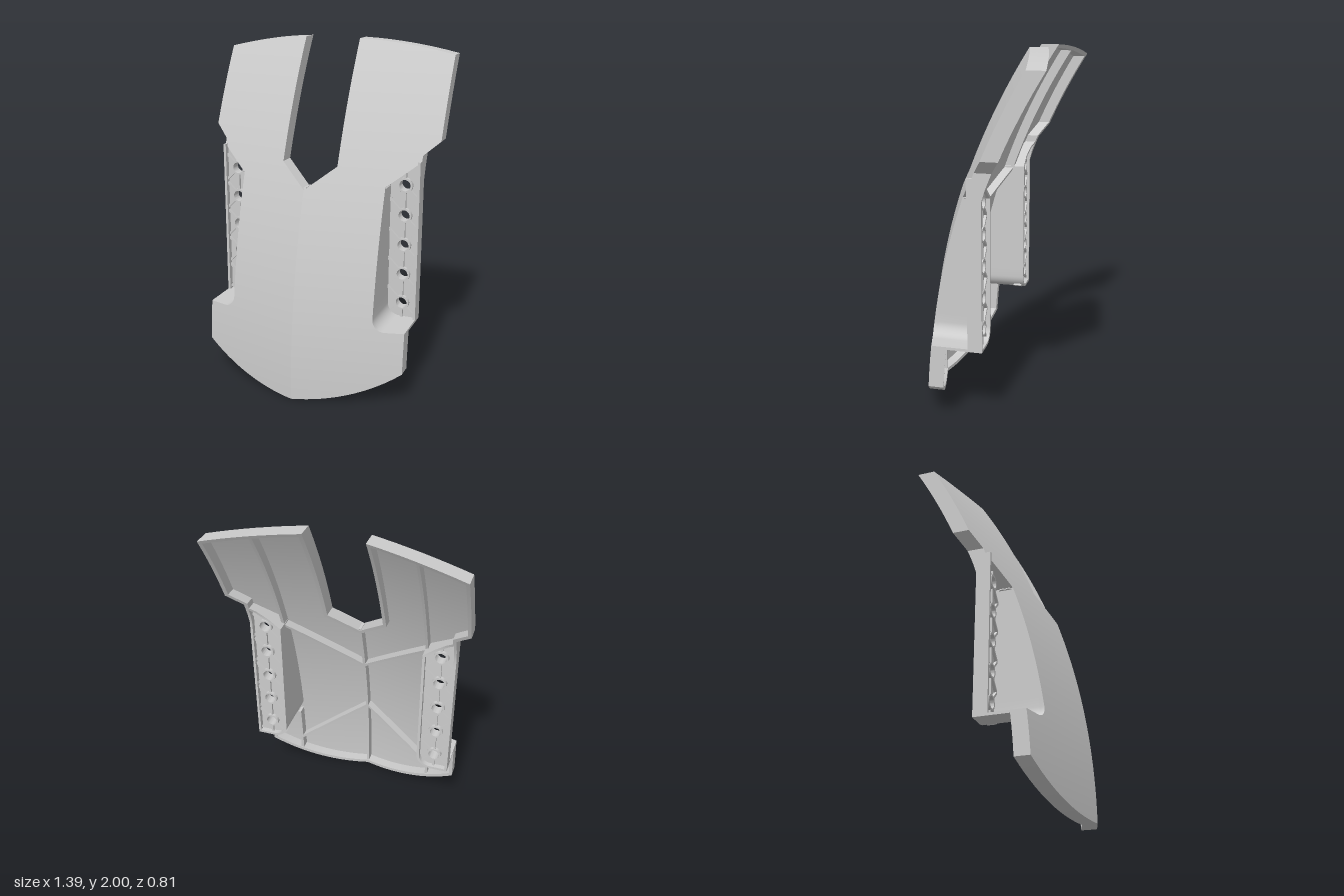
import * as THREE from 'three';
import { toCreasedNormals, mergeGeometries } from 'three/addons/utils/BufferGeometryUtils.js';

const R = 3.76;          // radius of the plate's vertical bend
const DEPTH = 0.085;     // rim depth
const SKIN = 0.025;      // skin thickness
const PANEL_BACK = -0.06;

// z of the V-folded, bent plate at (x, y), sunk by depth d
const plateZ = (x, y, d = 0) => {
  const c = Math.sqrt(R * R - y * y);
  return 0.41 - R + c - 0.265 * Math.abs(x) - d * R / c;
};
const at = d => (x, y) => plateZ(x, y, d);
const panelBack = (x, y) => Math.min(PANEL_BACK, plateZ(x, y, DEPTH));

// Joins rings of four corners into a closed solid
function loft(rings) {
  const pos = [];
  const quad = (a, b, c, d) => [a, b, c, a, c, d].forEach(p => pos.push(...p));
  for (let i = 0; i < rings.length - 1; i++) {
    const p = rings[i], q = rings[i + 1];
    for (let j = 0; j < 4; j++) quad(p[j], q[j], q[(j + 1) % 4], p[(j + 1) % 4]);
  }
  quad(...rings[0]);
  quad(...[...rings[rings.length - 1]].reverse());
  const g = new THREE.BufferGeometry();
  g.setAttribute('position', new THREE.Float32BufferAttribute(pos, 3));
  return toCreasedNormals(g, 0.45);
}

// Splits long runs so that they follow the bend
function subdivide(pts, step = 0.06) {
  const out = [pts[0]];
  for (let i = 1; i < pts.length; i++) {
    const [a, b] = [pts[i - 1], pts[i]];
    const n = Math.max(1, Math.ceil(Math.abs(b[1] - a[1]) / step));
    for (let k = 1; k <= n; k++) out.push([a[0] + (b[0] - a[0]) * k / n, a[1] + (b[1] - a[1]) * k / n]);
  }
  return out;
}

// Wall along an (x, y) path, between side offsets a and b (left of travel is positive)
function wall(path, a, b, front, back) {
  const pts = subdivide(path);
  const normal = (p, q) => {
    const l = Math.hypot(q[0] - p[0], q[1] - p[1]);
    return [(p[1] - q[1]) / l, (q[0] - p[0]) / l];
  };
  return loft(pts.map((p, i) => {
    const n1 = i ? normal(pts[i - 1], p) : normal(p, pts[1]);
    const n2 = i < pts.length - 1 ? normal(p, pts[i + 1]) : n1;
    const k = 1 + n1[0] * n2[0] + n1[1] * n2[1];
    let n = [(n1[0] + n2[0]) / k, (n1[1] + n2[1]) / k];
    if (Math.abs(p[0]) < 1e-6 && Math.abs(n[1]) > 0.1) n = [0, 1 / n[1]]; // meet the mirrored half
    const corner = (o, z) => {
      const x = p[0] + n[0] * o, y = p[1] + n[1] * o;
      return [x, y, z(x, y)];
    };
    return [corner(a, front), corner(b, front), corner(b, back), corner(a, back)];
  }));
}

function mirrored(geo) {
  const g = geo.index ? geo.toNonIndexed() : geo.clone();
  g.scale(-1, 1, 1);
  for (const name of ['position', 'normal']) {
    const arr = g.attributes[name].array;
    for (let i = 0; i < arr.length; i += 9)
      for (let k = 0; k < 3; k++) [arr[i + k], arr[i + 6 + k]] = [arr[i + 6 + k], arr[i + k]];
  }
  return g;
}

const range = (n, f) => Array.from({ length: n + 1 }, (_, i) => f(i / n));

export function createModel() {
  const model = new THREE.Group();
  model.name = 'ribbedShieldPlate';
  const material = new THREE.MeshStandardMaterial({ color: 0xcccccc });
  const addOne = (name, geo) => {
    const mesh = new THREE.Mesh(geo, material);
    mesh.name = name;
    model.add(mesh);
  };
  const addPair = (name, geo) => {
    addOne(name + 'Left', geo);
    addOne(name + 'Right', mirrored(geo));
  };

  // Outline of the left half, counterclockwise from the bottom point
  const topY = x => 2.0048 - 0.1755 * x * x;
  const lower = [...range(14, t => [0.61 * t, 1.03 - Math.sqrt(1.03 ** 2 - (0.61 * t) ** 2)]), [0.61, 0.44]];
  const pocket = [
    [0.61, 0.44],
    ...range(8, t => [0.505 - 0.07 * Math.sin(t * Math.PI / 2), 0.51 - 0.07 * Math.cos(t * Math.PI / 2)]),
    [0.435, 1.2], [0.435, 1.23], [0.564, 1.33], [0.61, 1.366],
  ];
  const upperOuter = [
    [0.61, 1.366], [0.61, 1.4], [0.695, 1.475],
    ...range(8, t => 0.695 - 0.53 * t).map(x => [x, topY(x)]),
  ];
  const upper = [...upperOuter, [0.165, 1.33], [0, 1.2]];

  // Curved skin, one row per height from the notch to the outer edge
  const innerX = y => THREE.MathUtils.clamp((y - 1.2) / 0.13, 0, 1) * 0.165;
  const rows = subdivide([...lower, ...pocket.slice(1), ...upperOuter.slice(1)], 0.04);
  addPair('skin', loft(rows.map(([xo, y]) => {
    const xi = Math.min(innerX(y), xo);
    return [
      [xo, y, plateZ(xo, y)], [xi, y, plateZ(xi, y)],
      [xi, y, plateZ(xi, y, SKIN)], [xo, y, plateZ(xo, y, SKIN)],
    ];
  })));

  // Rims round the edge, and the deep pocket walls
  addPair('lowerRim', wall(lower, 0, 0.02, at(0.01), at(DEPTH)));
  addPair('upperRim', wall(upper, 0, 0.02, at(0.01), at(DEPTH)));
  addPair('pocketWall', wall(pocket, 0, 0.015, at(0.01), panelBack));
  addPair('panelOuterWall', wall([[0.61, 0.425], [0.61, 1.37]], 0, 0.015, () => 0.02, panelBack));

  // Stiffening ribs on the back
  const rib = path => wall(path, -0.008, 0.008, at(0.01), at(0.078));
  addOne('centreRib', rib([[0, 0.01], [0, 1.21]]));
  addPair('upperDiagonalRib', rib([[0, 0.885], [0.435, 1.23]]));
  addPair('lowerDiagonalRib', rib([[0, 0.52], [0.435, 0.2]]));
  addPair('lowerSideRib', rib([[0.43, 0.11], [0.43, 0.44]]));
  addPair('armRib', rib([[0.43, 1.23], [0.43, topY(0.43) - 0.01]]));

  // Side panel: web with a row of holes
  const HX = 0.522, holes = range(4, t => 0.53 + 0.7 * t);
  const circle = (C, y, r) => new C().absarc(HX, y, r, 0, Math.PI * 2, false);
  const extrude = (shape, z0, z1) => {
    const g = new THREE.ExtrudeGeometry(shape, { depth: z1 - z0, bevelEnabled: false, curveSegments: 16 });
    return toCreasedNormals(g.translate(0, 0, z0), 0.6);
  };
  const web = new THREE.Shape(pocket.map(p => new THREE.Vector2(Math.min(p[0], 0.6), p[1])));
  holes.forEach(y => web.holes.push(circle(THREE.Path, y, 0.034)));
  addPair('panelWeb', extrude(web, -0.03, -0.01));

  // Hole rims
  addPair('holeRims', mergeGeometries(holes.map(y => {
    const ring = circle(THREE.Shape, y, 0.043);
    ring.holes.push(circle(THREE.Path, y, 0.032));
    return extrude(ring, -0.05, 0.01);
  })));

  // Lattice of diagonal and upright ribs between the holes
  const bars = [];
  const bar = (y, angle, r1) => {
    const r0 = 0.038;
    bars.push(new THREE.BoxGeometry(r1 - r0, 0.012, 0.05)
      .translate((r0 + r1) / 2, 0, -0.02).rotateZ(angle).translate(HX, y, 0));
  };
  holes.forEach((y, i) => {
    const last = i === holes.length - 1;
    [1, -1, 3, -3].forEach(q => {
      if (!(last && q === 3)) bar(y, q * Math.PI / 4, Math.abs(q) === 1 ? 0.108 : 0.122);
    });
    bar(y, Math.PI / 2, last ? 0.07 : 0.137);
    if (i === 0) bar(y, -Math.PI / 2, 0.09);
  });
  addPair('panelLattice', mergeGeometries(bars));

  return model;
}
